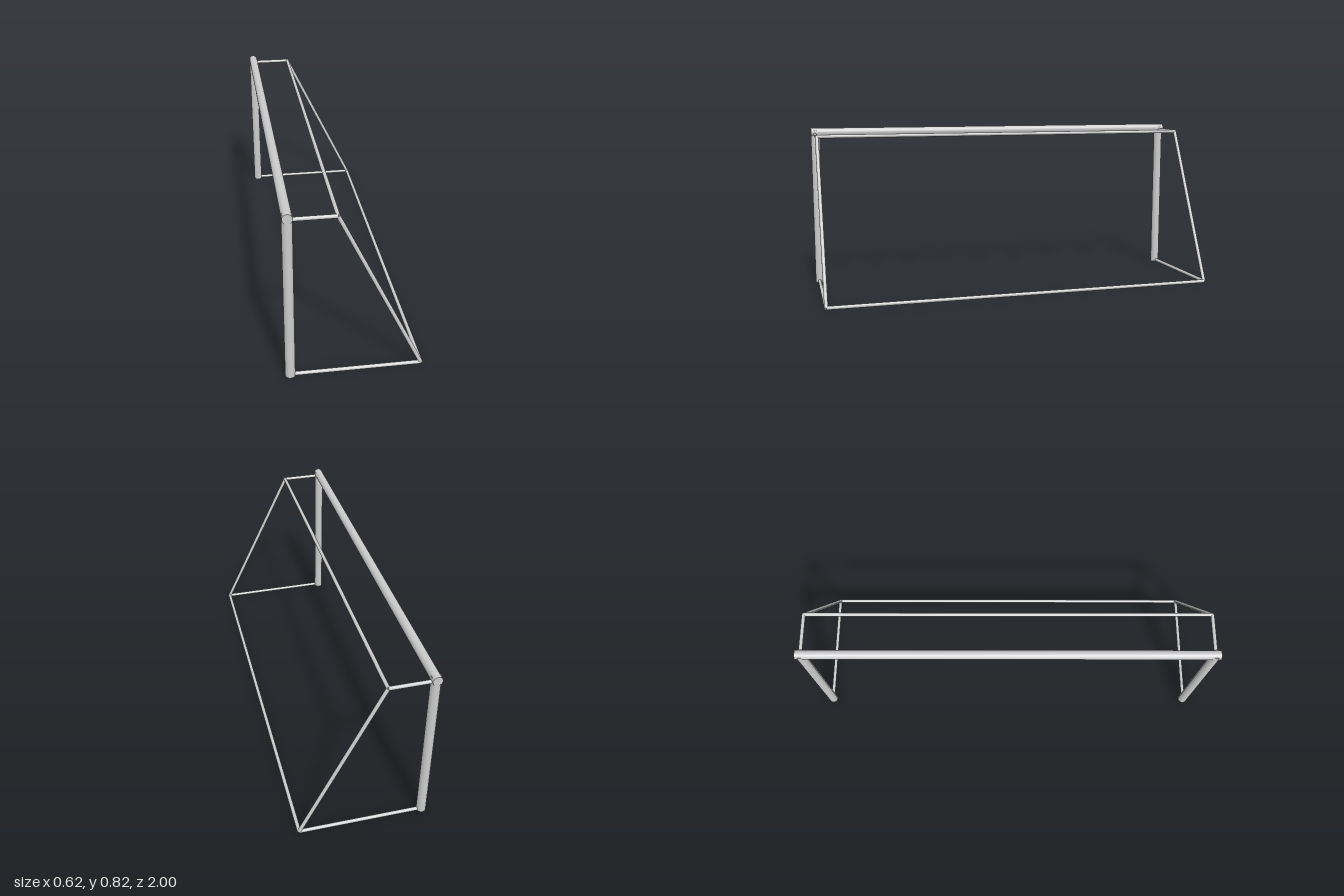
import * as THREE from 'three';

const material = new THREE.MeshStandardMaterial({ color: 0xcccccc });
const UP = new THREE.Vector3(0, 1, 0);

// Closed round bar between two points
function bar(name, from, to, radius, sides) {
  const a = new THREE.Vector3(...from);
  const dir = new THREE.Vector3(...to).sub(a);
  const mesh = new THREE.Mesh(new THREE.CylinderGeometry(radius, radius, dir.length(), sides), material);
  mesh.name = name;
  mesh.position.copy(a).addScaledVector(dir, 0.5);
  mesh.quaternion.setFromUnitVectors(UP, dir.normalize());
  return mesh;
}

export function createModel() {
  const goal = new THREE.Group();
  goal.name = 'goalFrame';
  const postR = 0.0225, railR = 0.009;
  const frontX = -0.286, topX = -0.08, backX = 0.299;
  const topY = 0.785, baseY = 0.01, endZ = 0.98;

  // Goal mouth: crossbar with a post under each end
  goal.add(bar('crossbar', [frontX, 0.796, -1], [frontX, 0.796, 1], postR, 32));

  // Each end: post, roof rail, sloping stay and ground rail
  for (const [side, s] of [['left', 1], ['right', -1]]) {
    const z = s * endZ, postZ = s * (1 - postR);
    goal.add(
      bar(side + 'Post', [frontX, 0.002, postZ], [frontX, 0.808, postZ], postR, 32),
      bar(side + 'RoofRail', [frontX, topY, z], [topX, topY, z], railR, 20),
      bar(side + 'Stay', [topX, topY, z], [backX, baseY, z], railR, 20),
      bar(side + 'GroundRail', [frontX, baseY, z], [backX, baseY, z], railR, 20)
    );
  }

  // Long rails joining the two ends
  goal.add(
    bar('upperBackRail', [topX, topY, -endZ], [topX, topY, endZ], railR, 20),
    bar('lowerBackRail', [backX, baseY, -endZ], [backX, baseY, endZ], railR, 20)
  );
  return goal;
}
